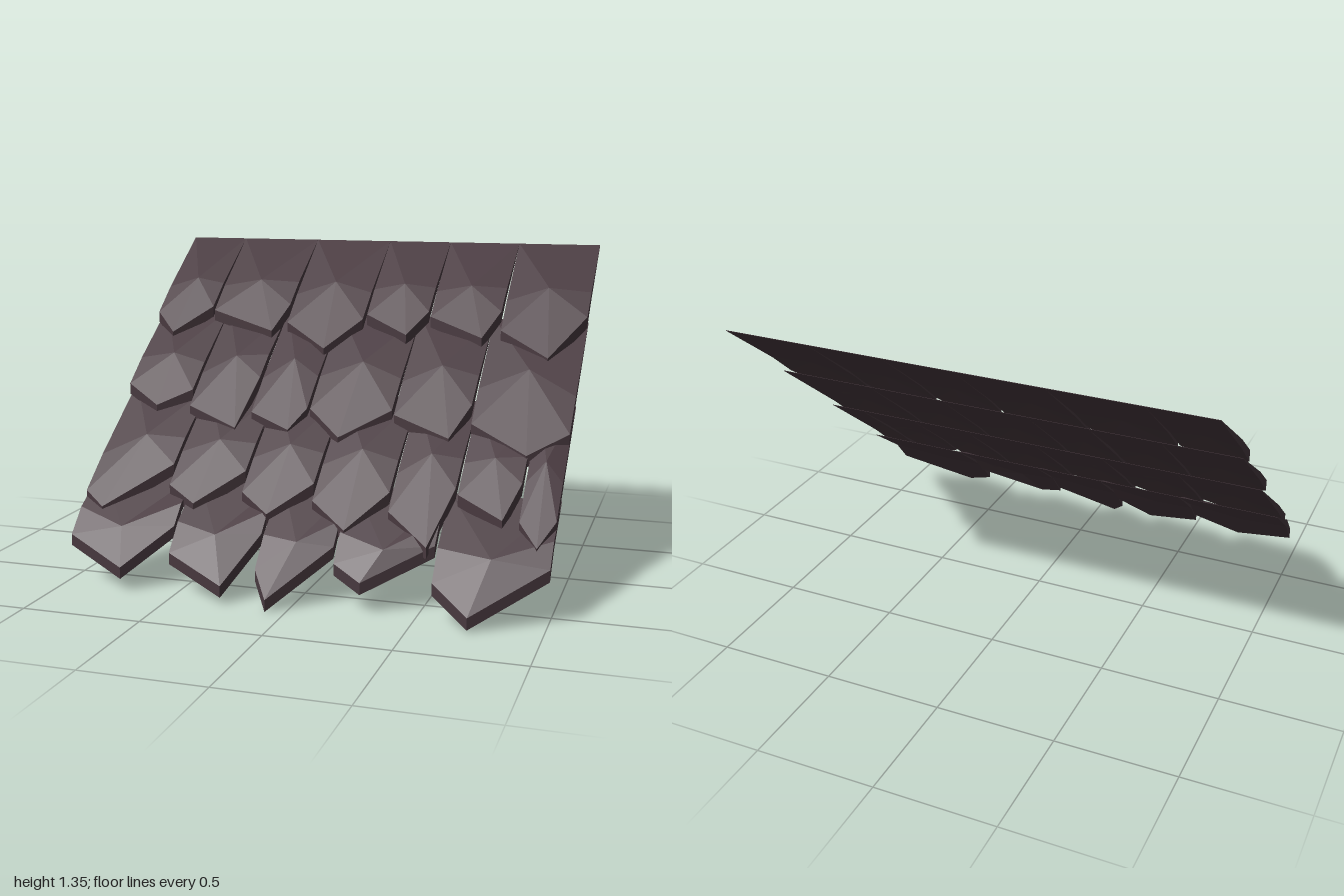
import * as THREE from 'three';

// The roof slope: height of the base plane at depth z
const SLOPE = 0.885, BASE = 0.675;
const planeY = z => BASE - SLOPE * z;

// Each course: start depth, lift of its lower edge, gap inset, joint positions,
// and per tile [left corner y, tip x, tip y, right corner y]
const COURSES = [
  { name: 'topCourse', z: -0.762, lift: 0.028, inset: 0.007,
    joints: [-1, -0.73, -0.355, 0.01, 0.305, 0.63, 1],
    tiles: [[0.98, -0.89, 0.9, 1.01], [0.995, -0.41, 0.92, 1.03], [0.957, -0.14, 0.86, 0.98],
      [1, 0.22, 0.925, 1.02], [1, 0.56, 0.925, 1.03], [0.957, 0.86, 0.86, 1.02]] },
  { name: 'upperCourse', z: -0.41, lift: 0.028, inset: 0.007,
    joints: [-1, -0.68, -0.385, -0.125, 0.25, 0.585, 1],
    tiles: [[0.69, -0.83, 0.615, 0.68], [0.62, -0.43, 0.55, 0.74], [0.61, -0.19, 0.555, 0.635],
      [0.635, 0.04, 0.54, 0.645], [0.63, 0.51, 0.56, 0.68], [0.615, 0.84, 0.52, 0.6]] },
  { name: 'lowerCourse', z: -0.06, lift: 0.028, inset: 0.007,
    joints: [-1, -0.64, -0.31, 0, 0.325, 0.59, 0.85, 1],
    tiles: [[0.3, -0.9, 0.25, 0.41], [0.34, -0.5, 0.285, 0.405], [0.335, -0.17, 0.27, 0.38],
      [0.325, 0.17, 0.24, 0.37], [0.31, 0.515, 0.21, 0.4], [0.38, 0.79, 0.31, 0.43],
      [0.31, 0.94, 0.235, 0.32]] },
  { name: 'eaveCourse', z: 0.295, lift: 0, inset: 0.009,
    joints: [-1, -0.55, -0.165, 0.148, 0.552, 1],
    tiles: [[0.145, -0.73, 0.055, 0.2], [0.115, -0.28, 0.03, 0.2], [0.09, -0.08, 0.003, 0.18],
      [0.13, 0.28, 0.08, 0.21], [0.1, 0.72, 0.012, 0.17]] },
];

// Domed, pointed shingle: sharp at the upper edge, thick at the lower edge
function shingleGeometry(x0, x1, inL, inR, course, [ly, tx, ty, ry]) {
  const { z: z0, lift } = course, thick = 0.048;
  const depth = y => (BASE + lift - y) / SLOPE;
  const lz = depth(ly), rz = depth(ry), tz = depth(ty);
  const mid = z => z0 + (z - z0) * 0.7;
  // outline points: x, z, underside lift, thickness
  const ring = [
    [x0, z0, 0, 0.002],
    [x0 + inL * 0.7, mid(lz), 0.028, thick * 0.75],
    [x0 + inL, lz, lift, thick],
    [tx, tz, lift, thick],
    [x1 - inR, rz, lift, thick],
    [x1 - inR * 0.7, mid(rz), 0.028, thick * 0.75],
    [x1, z0, 0, 0.002],
  ];
  const low = ([x, z, l]) => [x, planeY(z) + l, z];
  const high = ([x, z, l, t]) => [x, planeY(z) + l + t, z];
  const centre = [(x0 + x1) / 2, z0 + 0.29, 0.04, 0.046];
  const pos = [];
  ring.forEach((a, i) => {
    const b = ring[(i + 1) % ring.length];
    pos.push(...high(centre), ...high(a), ...high(b));
    pos.push(...low(centre), ...low(b), ...low(a));
    pos.push(...high(a), ...low(a), ...low(b));
    pos.push(...high(a), ...low(b), ...high(b));
  });
  const g = new THREE.BufferGeometry();
  g.setAttribute('position', new THREE.Float32BufferAttribute(pos, 3));
  g.computeVertexNormals();
  return g;
}

export function createModel() {
  const model = new THREE.Group();
  model.name = 'shingleRoofPanel';
  const slate = new THREE.MeshStandardMaterial({ color: 0x48393f, flatShading: true });
  slate.name = 'darkSlate';

  for (const course of COURSES) {
    const row = new THREE.Group();
    row.name = course.name;
    course.tiles.forEach((tile, i) => {
      const last = i === course.tiles.length - 1;
      const geo = shingleGeometry(course.joints[i], course.joints[i + 1],
        i === 0 ? 0 : course.inset, last ? 0 : course.inset, course, tile);
      const mesh = new THREE.Mesh(geo, slate);
      mesh.name = 'shingle';
      row.add(mesh);
    });
    model.add(row);
  }
  return model;
}
